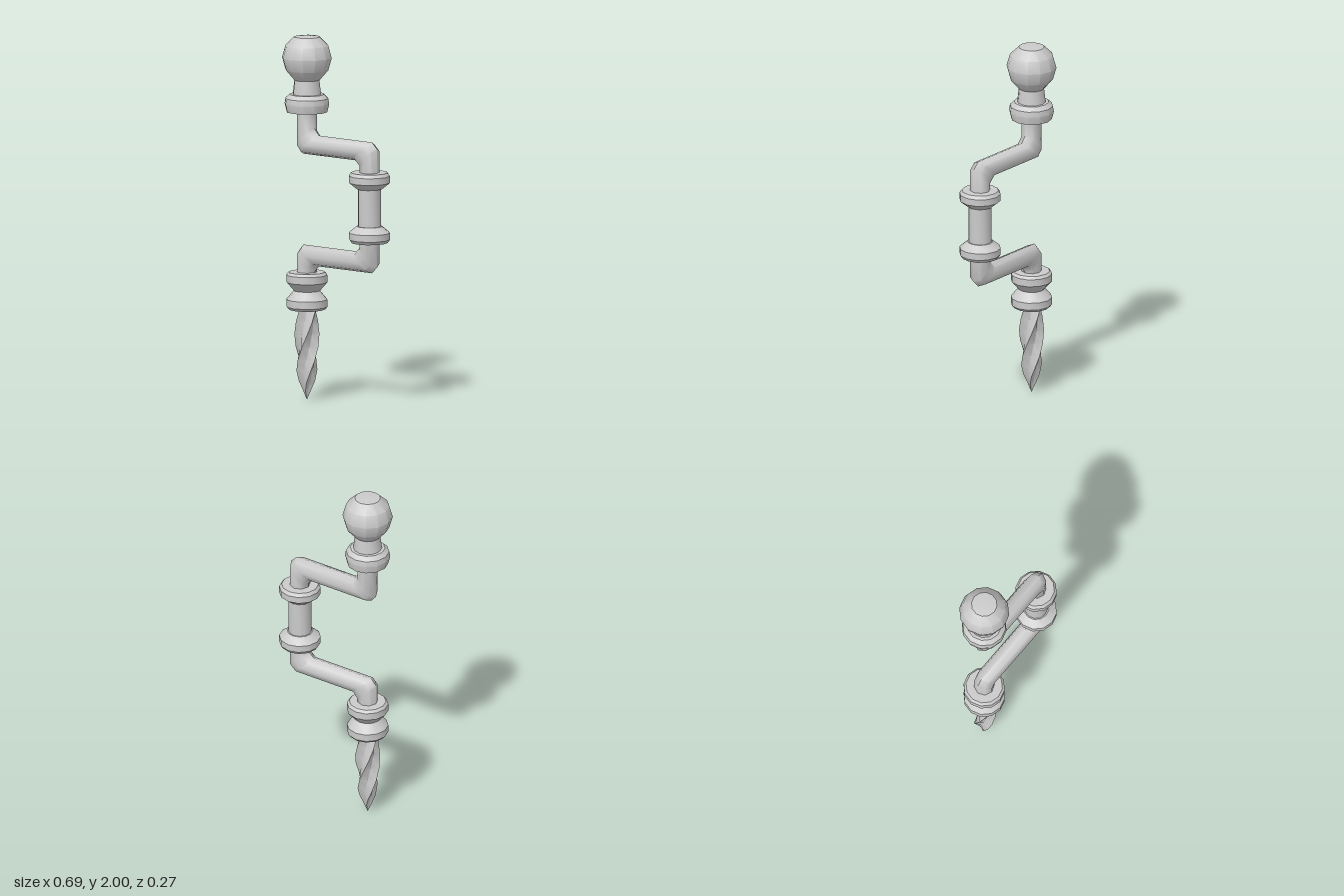
import * as THREE from 'three';
import { toCreasedNormals } from 'three/addons/utils/BufferGeometryUtils.js';

const AXIS = -0.21;    // ball, collars and bit
const OFFSET = 0.235;  // cranked grip
const MID = 1.0975;    // mirror height of the crank
const flip = (y) => 2 * MID - y;

export function createModel() {
  const group = new THREE.Group();
  const material = new THREE.MeshStandardMaterial({ color: 0xcccccc });

  function add(name, geometry, crease) {
    const mesh = new THREE.Mesh(toCreasedNormals(geometry, crease), material);
    mesh.name = name;
    group.add(mesh);
  }

  // Turned part: [radius, height] pairs from bottom to top
  function turned(name, x, profile) {
    const points = profile.map(([r, y]) => new THREE.Vector2(r, y));
    const geometry = new THREE.LatheGeometry(points, 12);
    geometry.translate(x, 0, 0);
    add(name, geometry, 0.6);
  }

  // Skin over successive closed rings of [x, y, z] points
  function loft(name, rings, crease) {
    const n = rings[0].length;
    const index = [];
    for (let i = 0; i < rings.length - 1; i++) {
      for (let j = 0; j < n; j++) {
        const a = i * n + j, b = i * n + (j + 1) % n;
        index.push(a, b, a + n, b, b + n, a + n);
      }
    }
    const geometry = new THREE.BufferGeometry();
    geometry.setAttribute('position', new THREE.Float32BufferAttribute(rings.flat(2), 3));
    geometry.setIndex(index);
    add(name, geometry, crease);
  }

  // Ball knob, neck and its collar
  turned('ballKnob', AXIS, [
    [0.07, 1.755], [0.118, 1.81], [0.137, 1.878], [0.118, 1.945], [0.07, 1.992], [0, 2],
  ]);
  turned('knobNeck', AXIS, [[0.08, 1.66], [0.068, 1.765]]);
  turned('knobCollar', AXIS, [
    [0, 1.58], [0.112, 1.58], [0.123, 1.625], [0.118, 1.655], [0.095, 1.677], [0, 1.677],
  ]);

  // Crank rods: octagonal bar with two bevelled mitre rings at each bend
  const r = 0.055;
  const path = [ // x, y, vertical lean of the ring
    [AXIS, 1.59, 0], [AXIS, 1.437, r], [-0.18, 1.402, r],
    [0.198, 1.402, r], [OFFSET, 1.367, r], [OFFSET, 1.22, 0],
  ];
  const barRings = (stations) => stations.map(([x, y, lean]) =>
    Array.from({ length: 8 }, (_, j) => {
      const a = j * Math.PI / 4;
      return [x + r * Math.cos(a), y + lean * Math.cos(a), r * Math.sin(a)];
    }));
  loft('upperCrankRod', barRings(path), 0.9);
  loft('lowerCrankRod', barRings(path.map(([x, y, l]) => [x, flip(y), -l]).reverse()), 0.9);

  // Grip between two mirrored collars
  turned('grip', OFFSET, [[0.063, 0.96], [0.063, flip(0.96)]]);
  const collar = [[0, 1.2], [0.07, 1.2], [0.113, 1.235], [0.113, 1.272], [0.1, 1.29], [0, 1.29]];
  turned('upperGripCollar', OFFSET, collar);
  turned('lowerGripCollar', OFFSET, collar.map(([cr, y]) => [cr, flip(y)]).reverse());

  // Double chuck collar
  turned('chuckCollar', AXIS, [
    [0, 0.495], [0.1, 0.495], [0.113, 0.51], [0.113, 0.55], [0.072, 0.598],
    [0.113, 0.645], [0.113, 0.685], [0.1, 0.7], [0, 0.7],
  ]);

  // Twisted four-fluted bit, tapering to a point
  const taper = [[0.5, 0.064], [0.43, 0.066], [0.36, 0.068], [0.29, 0.068], [0.22, 0.066],
    [0.16, 0.06], [0.1, 0.044], [0.05, 0.023], [0.01, 0.001]];
  loft('twistedBit', taper.map(([y, radius]) =>
    Array.from({ length: 8 }, (_, j) => {
      const a = j * Math.PI / 4 + (0.5 - y) * 6.2;
      const d = j % 2 ? radius * 0.58 : radius;
      return [AXIS + d * Math.cos(a), y === 0.01 ? 0 : y, d * Math.sin(a)];
    })), 0.55);

  return group;
}
